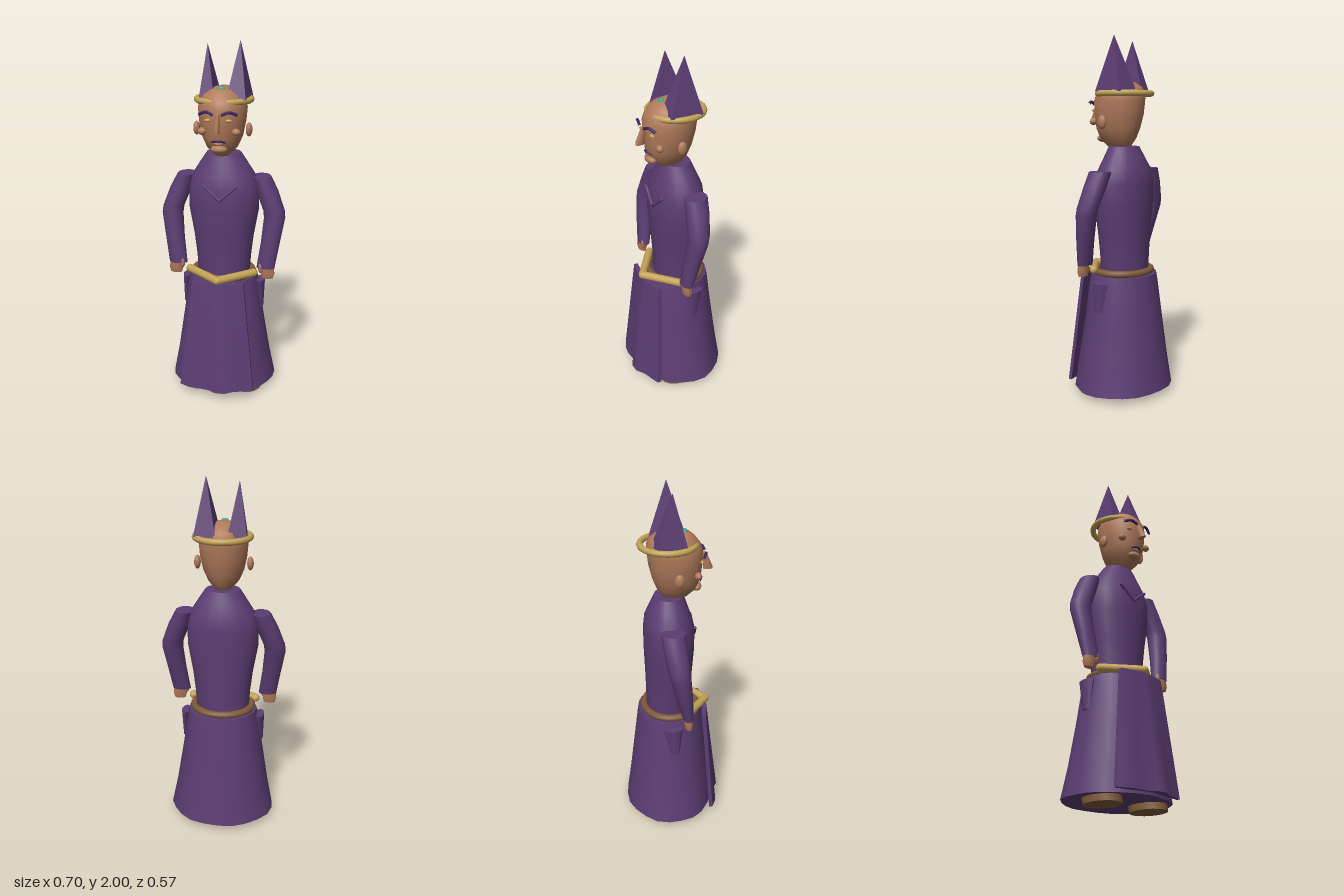
import * as THREE from 'three';
import { toCreasedNormals } from 'three/addons/utils/BufferGeometryUtils.js';

const mat = (name, color) => Object.assign(new THREE.MeshStandardMaterial({ color }), { name });

// Skin over a stack of rings (bottom to top), capped at both ends
function loft(rings, crease = 0.7) {
  const n = rings[0].length, pos = rings.flat(2), index = [];
  rings.slice(1).forEach((_, r) => {
    for (let i = 0; i < n; i++) {
      const a = r * n + i, b = r * n + (i + 1) % n;
      index.push(a, b, a + n, b, b + n, a + n);
    }
  });
  [0, rings.length - 1].forEach((r) => {
    const c = pos.length / 3;
    pos.push(...[0, 1, 2].map((k) => rings[r].reduce((s, p) => s + p[k], 0) / n));
    for (let i = 0; i < n; i++) {
      const a = r * n + i, b = r * n + (i + 1) % n;
      index.push(c, ...(r ? [a, b] : [b, a]));
    }
  });
  const g = new THREE.BufferGeometry();
  g.setAttribute('position', new THREE.Float32BufferAttribute(pos, 3));
  g.setIndex(index);
  return toCreasedNormals(g, crease);
}

// Horizontal oval ring: height, centre x, half width, front z, back z
function oval(y, cx, rx, zf, zb, n = 20, ripple = 0) {
  return Array.from({ length: n }, (_, i) => {
    const a = (i / n) * Math.PI * 2, k = 1 + ripple * Math.cos(a * 7 + 1);
    return [cx + Math.sin(a) * rx * k, y, (zf + zb) / 2 + Math.cos(a) * (zf - zb) / 2 * k];
  });
}

// Rounded bar between two points
function bar(a, b, r) {
  const p = new THREE.Vector3(...a), d = new THREE.Vector3(...b).sub(p);
  const g = new THREE.CapsuleGeometry(r, d.length(), 5, 12);
  g.applyQuaternion(new THREE.Quaternion().setFromUnitVectors(
    new THREE.Vector3(0, 1, 0), d.clone().normalize()));
  return g.translate(...p.addScaledVector(d, 0.5).toArray());
}

const blob = (x, y, z, rx, ry, rz) =>
  new THREE.SphereGeometry(1, 18, 12).scale(rx, ry, rz).translate(x, y, z);

const tube = (pts, r) => new THREE.TubeGeometry(
  new THREE.CatmullRomCurve3(pts.map((p) => new THREE.Vector3(...p))), 12, r, 8);

// Four-sided spike from base corners (counterclockwise from above)
function spike(base, baseY, apex) {
  return loft([
    base.map(([x, z]) => [x, baseY, z]),
    base.map(([x, z]) => [apex[0] + (x - apex[0]) * 0.005, apex[1], apex[2] + (z - apex[2]) * 0.005]),
  ], 0.1);
}

export function createModel() {
  const cloth = mat('purple cloth', 0x5c3d73);
  const trim = mat('dark purple', 0x3a2860);
  const skin = mat('skin', 0xb07a5a);
  const gold = mat('gold', 0xc2a257);
  const leather = mat('brown leather', 0x7d5a3a);
  const teal = mat('teal gem', 0x35a596);

  const model = new THREE.Group();
  model.name = 'robedFigure';
  const add = (name, geometry, material) => {
    const m = new THREE.Mesh(geometry, material);
    m.name = name;
    model.add(m);
  };

  // Robe: skirt and upper body
  add('skirt', loft([
    oval(0.035, 0, 0.305, 0.24, -0.285, 22, 0.015),
    oval(0.2, 0, 0.272, 0.225, -0.262, 22, 0.01),
    oval(0.45, 0, 0.232, 0.19, -0.23, 22),
    oval(0.64, 0, 0.205, 0.17, -0.207, 22),
    oval(0.685, 0, 0.195, 0.16, -0.2, 22),
  ]), cloth);
  add('torso', loft([
    [0.67, 0.15, 0.1, -0.15], [0.8, 0.158, 0.103, -0.153], [0.92, 0.172, 0.11, -0.156],
    [1.08, 0.2, 0.12, -0.162], [1.2, 0.2, 0.122, -0.163], [1.27, 0.18, 0.105, -0.155],
    [1.34, 0.135, 0.08, -0.125], [1.4, 0.095, 0.06, -0.1],
  ].map(([y, rx, f, b]) => oval(y, 0, rx, f, b))), cloth);

  // Pleated front panel, widening and swinging out toward the hem
  const pleat = [0.22, 0.245, 0.255, 0.252, 0.283, 0.285, 0.252, 0.237, 0.22];
  const panelRing = (t) => {
    const y = 0.05 + 0.64 * t, w = 0.215 - 0.07 * t;
    const row = (back) => pleat.map((z, i) => [
      w * (i / 4 - 1), y, THREE.MathUtils.lerp(z, 0.2 - 0.025 * (i / 4 - 1) ** 2, t) - back]);
    return [...row(0), ...row(0.022).reverse()];
  };
  add('frontPanel', loft([0, 0.33, 0.67, 1].map(panelRing)), cloth);

  // Chevron at the chest
  for (const s of [-1, 1]) add('chestChevron', bar([s * 0.088, 1.232, 0.112], [0, 1.155, 0.123], 0.009), cloth);

  // Belt: ring around the waist and a gold V in front
  add('waistRing', new THREE.TorusGeometry(0.15, 0.02, 10, 32).rotateX(Math.PI / 2)
    .scale(1.1, 1, 1).translate(0, 0.7, -0.015), leather);
  for (const s of [-1, 1]) add('frontBelt', bar([s * 0.185, 0.717, 0.05], [0, 0.711, 0.195], 0.023), gold);

  for (const s of [-1, 1]) {
    // Sleeve with bent elbow
    add('sleeve', loft([
      [0.755, 0.253, 0.052, 0.085, 0.022], [0.9, 0.275, 0.054, 0.076, -0.015],
      [1.04, 0.293, 0.06, 0.062, -0.05], [1.08, 0.288, 0.06, 0.06, -0.06],
      [1.19, 0.245, 0.062, 0.05, -0.08], [1.27, 0.212, 0.053, 0.043, -0.09],
    ].map(([y, x, rx, f, b]) => oval(y, s * x, rx, f, b, 14))), cloth);
    // Hand and thumb
    add('hand', loft([
      oval(0.695, s * 0.265, 0.033, 0.076, 0.036, 10),
      oval(0.72, s * 0.266, 0.04, 0.083, 0.03, 10),
      oval(0.775, s * 0.262, 0.038, 0.08, 0.03, 10),
    ]), skin);
    add('thumb', blob(s * 0.228, 0.757, 0.065, 0.016, 0.034, 0.016), skin);
    // Hip flap
    add('hipFlap', loft([
      oval(0.49, s * 0.222, 0.014, 0.012, -0.04, 8),
      oval(0.655, s * 0.216, 0.026, 0.032, -0.078, 8),
    ]), cloth);
    // Shoe
    add('shoe', loft([
      oval(0, s * 0.157, 0.087, 0.163, -0.065, 18),
      oval(0.06, s * 0.157, 0.087, 0.16, -0.09, 18),
    ]), leather);
  }

  // Head
  add('head', loft([
    [1.395, 0.045, 0.085, -0.055], [1.44, 0.085, 0.13, -0.085], [1.5, 0.112, 0.152, -0.108],
    [1.58, 0.128, 0.16, -0.128], [1.65, 0.134, 0.162, -0.136], [1.69, 0.128, 0.148, -0.138],
    [1.725, 0.108, 0.122, -0.122], [1.75, 0.072, 0.092, -0.085], [1.763, 0.03, 0.05, -0.04],
  ].map(([y, rx, f, b]) => oval(y, 0, rx, f, b, 24)), 1.2), skin);
  add('chin', blob(0, 1.443, 0.128, 0.046, 0.023, 0.03), skin);
  add('nose', loft([
    oval(1.54, 0, 0.014, 0.217, 0.165, 10), oval(1.555, 0, 0.016, 0.216, 0.165, 10),
    oval(1.635, 0, 0.011, 0.18, 0.15, 10),
  ]), skin);
  add('upperLip', tube([[-0.036, 1.483, 0.14], [0, 1.492, 0.157], [0.036, 1.483, 0.14]], 0.006), trim);
  add('lowerLip', tube([[-0.026, 1.478, 0.142], [0, 1.473, 0.151], [0.026, 1.478, 0.142]], 0.006), skin);

  for (const s of [-1, 1]) {
    add('ear', blob(s * 0.145, 1.535, 0.02, 0.018, 0.038, 0.027), skin);
    add('cheek', blob(s * 0.092, 1.537, 0.125, 0.024, 0.02, 0.02), skin);
    add('eye', blob(s * 0.056, 1.6, 0.148, 0.019, 0.009, 0.012), gold);
    add('eyebrow', tube([[s * 0.02, 1.633, 0.178], [s * 0.06, 1.647, 0.168], [s * 0.102, 1.632, 0.15]], 0.008), trim);
  }

  // Circlet, spiked headdress and gem
  add('circlet', new THREE.TorusGeometry(0.148, 0.017, 10, 40).rotateX(Math.PI / 2)
    .translate(0, 1.69, -0.023), gold);
  add('rightSpike', spike([[-0.122, 0.066], [-0.038, 0.071], [-0.033, -0.115], [-0.136, -0.09]],
    1.7, [-0.087, 1.98, -0.01]), cloth);
  add('leftSpike', spike([[0.028, 0.083], [0.134, 0.078], [0.147, -0.103], [0.025, -0.127]],
    1.7, [0.088, 2, -0.02]), cloth);
  add('foreheadGem', blob(0, 1.755, 0.065, 0.022, 0.013, 0.014), teal);

  return model;
}
